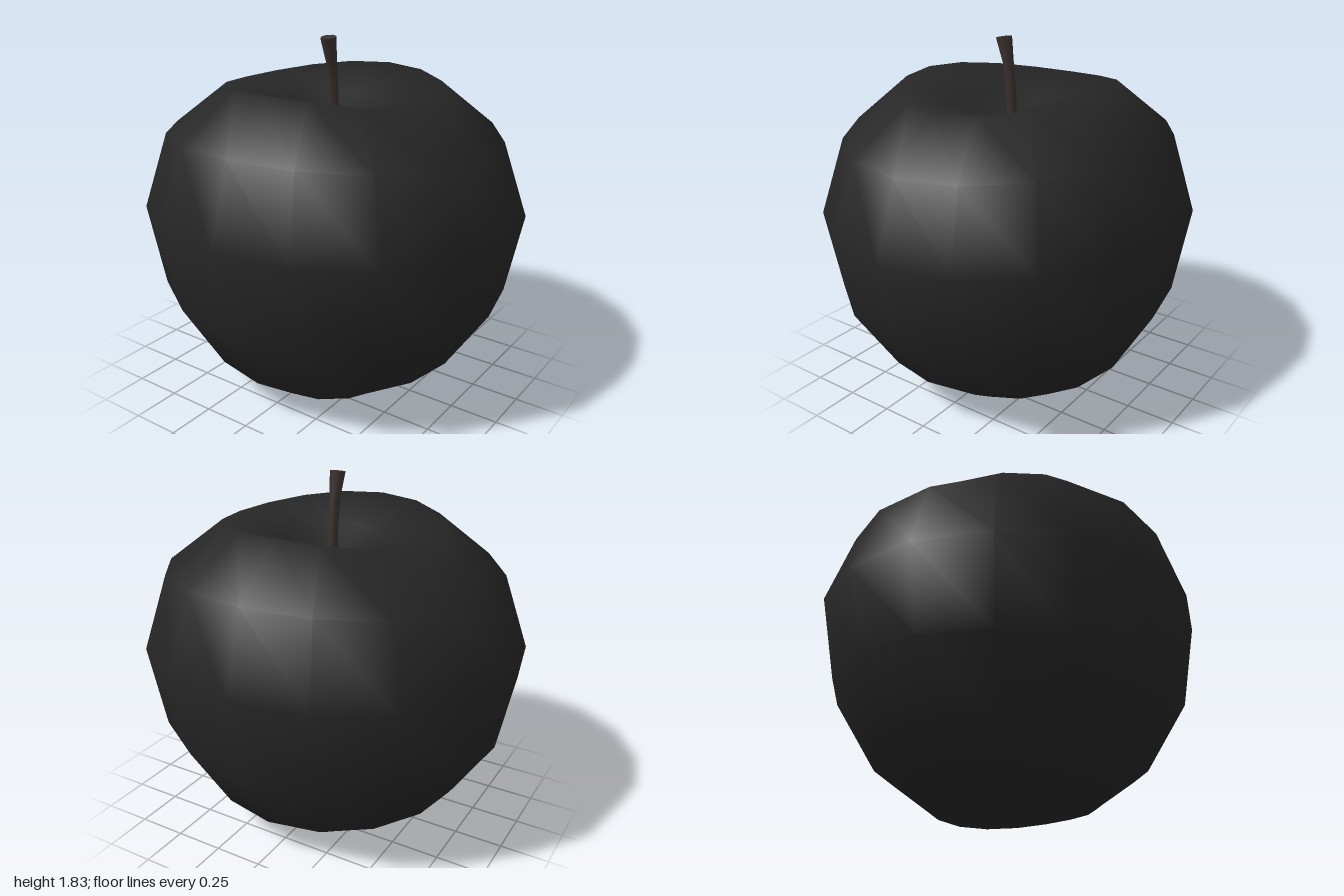
import * as THREE from 'three';
import { mergeVertices } from 'three/addons/utils/BufferGeometryUtils.js';

// Apple profile, bottom to top: radius, height on the left/right sides, height on the front/back
const PROFILE = [
  [0, 0.13, 0.13], [0.18, 0.085, 0.065], [0.42, 0.04, 0.003], [0.70, 0.235, 0.195],
  [0.92, 0.57, 0.55], [1, 0.975, 1.0], [0.87, 1.345, 1.392], [0.575, 1.567, 1.627],
  [0.25, 1.50, 1.53], [0, 1.32, 1.32],
];
const SIDES = 16;

// Share vertices so that normals are smooth across the seam and the poles
function weld(geometry) {
  geometry.deleteAttribute('uv');
  geometry.deleteAttribute('normal');
  const welded = mergeVertices(geometry, 1e-4);
  welded.computeVertexNormals();
  return welded;
}

function makeBody() {
  const points = PROFILE.map(([r, y]) => new THREE.Vector2(r, y));
  const geometry = new THREE.LatheGeometry(points, SIDES);
  const pos = geometry.attributes.position;
  for (let i = 0; i < pos.count; i++) {
    // Each ring is a gentle saddle, slightly flattened from front to back
    const [, ySide, yFront] = PROFILE[i % PROFILE.length];
    const phi = Math.floor(i / PROFILE.length) / SIDES * Math.PI * 2;
    pos.setY(i, THREE.MathUtils.lerp(yFront, ySide, Math.sin(phi) ** 2));
    pos.setZ(i, pos.getZ(i) * 0.926);
  }
  return weld(geometry);
}

function makeStem() {
  // Bent, widening stalk: height, forward offset, radius
  const rings = [[1.30, -0.015, 0.026], [1.57, -0.002, 0.025], [1.70, 0.013, 0.027], [1.83, 0.04, 0.04]];
  const geometry = new THREE.CylinderGeometry(1, 1, 3, 8, 3);
  const pos = geometry.attributes.position;
  for (let i = 0; i < pos.count; i++) {
    const level = Math.round(pos.getY(i) + 1.5);
    const [y, z, r] = rings[level];
    const tilt = level === 3 ? -0.15 * pos.getZ(i) * r : 0;
    pos.setXYZ(i, pos.getX(i) * r, y + tilt, z + pos.getZ(i) * r);
  }
  geometry.computeVertexNormals();
  return geometry;
}

export function createModel() {
  const group = new THREE.Group();
  group.name = 'apple';

  const body = new THREE.Mesh(makeBody(), new THREE.MeshStandardMaterial({ color: 0x262626 }));
  body.name = 'fruitBody';
  group.add(body);

  const stem = new THREE.Mesh(makeStem(), new THREE.MeshStandardMaterial({ color: 0x3a302e }));
  stem.name = 'stem';
  group.add(stem);

  return group;
}
